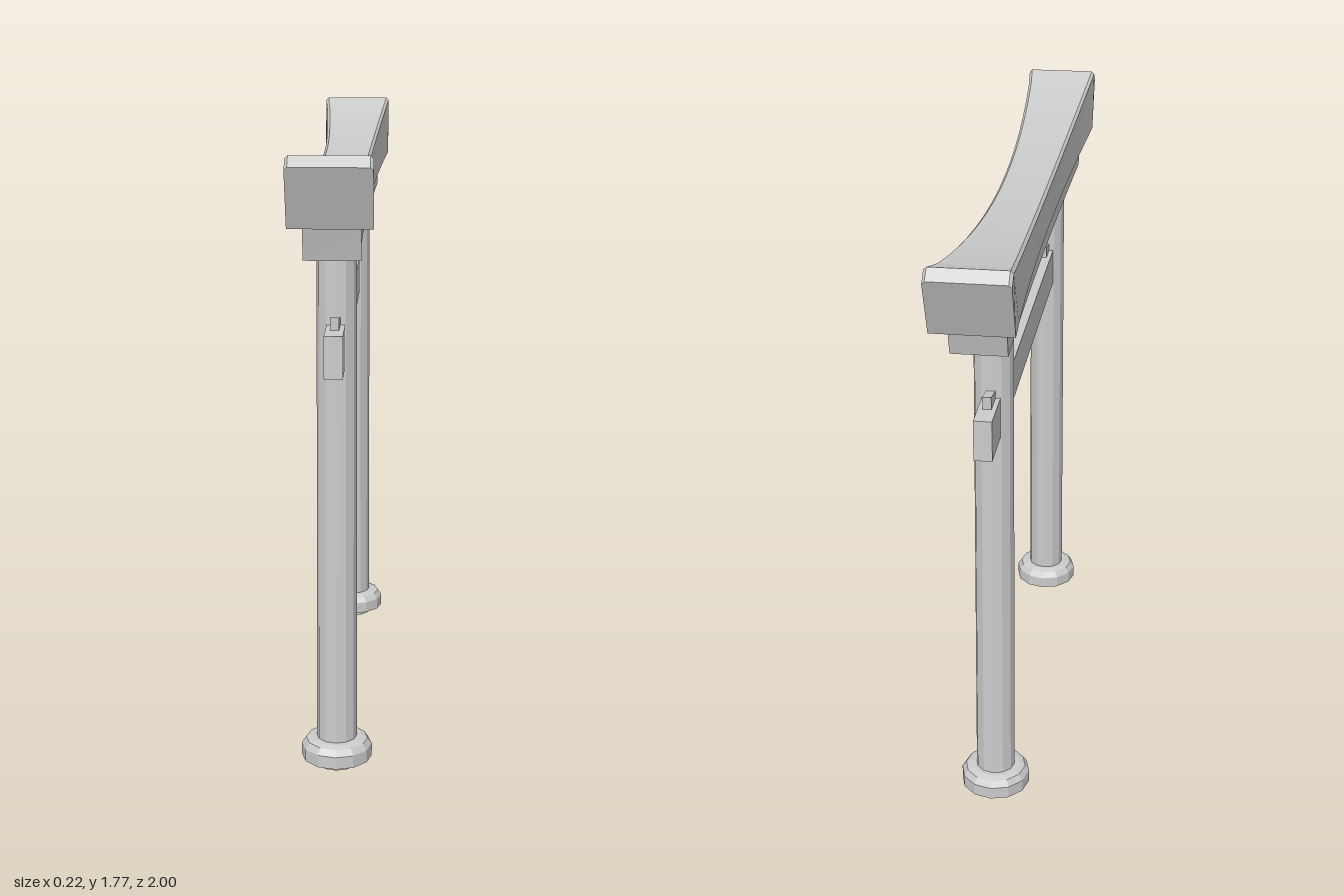
import * as THREE from 'three';

const material = new THREE.MeshStandardMaterial({ color: 0xcccccc, flatShading: true });
const openMaterial = new THREE.MeshStandardMaterial({ color: 0xcccccc, flatShading: true, side: THREE.DoubleSide });

function add(group, name, geometry, mat = material) {
  const mesh = new THREE.Mesh(geometry, mat);
  mesh.name = name;
  group.add(mesh);
  return mesh;
}

// Joins equal-length rings of points, running along +z, and closes both ends
function loft(rings) {
  const n = rings[0].length;
  const index = [];
  for (let i = 0; i < rings.length - 1; i++) {
    for (let j = 0; j < n; j++) {
      const a = i * n + j, b = i * n + (j + 1) % n;
      index.push(a, b, b + n, a, b + n, a + n);
    }
  }
  const last = (rings.length - 1) * n;
  for (let j = 1; j < n - 1; j++) {
    index.push(0, j + 1, j, last, last + j, last + j + 1);
  }
  const geometry = new THREE.BufferGeometry();
  geometry.setAttribute('position', new THREE.Float32BufferAttribute(rings.flat(2), 3));
  geometry.setIndex(index);
  const flat = geometry.toNonIndexed();
  flat.computeVertexNormals();
  return flat;
}

// Upward-curving beam: wider and higher at the ends, with raked end faces
function curvedBeam({ topZ, bottomZ, top, bottom, topRise, bottomRise, width, flare, bevel, endBevel }) {
  const rings = [];
  const ring = (t, dz, drop) => {
    const w = width + flare * t * t;
    const yt = top + topRise * t * t - drop;
    const yb = bottom + bottomRise * t * t;
    const zt = t * topZ - Math.sign(t) * dz, zb = t * bottomZ;
    const zs = zt + (zb - zt) * 0.05;
    return [
      [-w, yb, zb], [w, yb, zb], [w, yt - bevel, zs],
      [w - bevel, yt, zt], [-w + bevel, yt, zt], [-w, yt - bevel, zs],
    ];
  };
  const segments = 16;
  rings.push(ring(-1, 0, endBevel));
  for (let i = 0; i <= segments; i++) {
    const t = -1 + 2 * i / segments;
    rings.push(ring(t, Math.abs(t) === 1 ? endBevel * 1.2 : 0, 0));
  }
  rings.push(ring(1, 0, endBevel));
  return loft(rings);
}

export function createModel() {
  const model = new THREE.Group();
  model.name = 'gate';

  // Lintels
  add(model, 'upperLintel', curvedBeam({
    topZ: 1, bottomZ: 0.935, top: 1.665, bottom: 1.545, topRise: 0.107, bottomRise: 0.042,
    width: 0.073, flare: 0.036, bevel: 0.008, endBevel: 0.026,
  }));
  add(model, 'lowerLintel', curvedBeam({
    topZ: 0.855, bottomZ: 0.83, top: 1.55, bottom: 1.457, topRise: 0.033, bottomRise: 0.034,
    width: 0.056, flare: 0.019, bevel: 0.003, endBevel: 0.003,
  }));

  // Straight tie beam passing through the pillars
  add(model, 'tieBeam', new THREE.BoxGeometry(0.05, 0.115, 1.57)).position.y = 1.228;

  for (const side of [-1, 1]) {
    const post = new THREE.Group();
    post.name = side > 0 ? 'frontPost' : 'backPost';
    model.add(post);

    // Pillar leaning slightly inward
    const height = 1.5;
    const pillar = new THREE.CylinderGeometry(0.054, 0.057, height, 12).translate(0, height / 2, 0);
    const p = pillar.attributes.position;
    for (let i = 0; i < p.count; i++) {
      p.setZ(i, p.getZ(i) + side * (0.61 - 0.018 * p.getY(i)));
    }
    pillar.computeVertexNormals();
    add(post, 'pillar', pillar);

    // Collar, open underneath around the foot
    const profile = [[0.1, 0.024], [0.1, 0.06], [0.088, 0.078], [0.07, 0.084], [0.045, 0.084]]
      .map(([r, y]) => new THREE.Vector2(r, y));
    add(post, 'collar', new THREE.LatheGeometry(profile, 12), openMaterial).position.z = side * 0.61;

    // Wedges on either side of the pillar, rising away from it
    for (const dir of [-1, 1]) {
      const outline = new THREE.Shape([[0.03, 1.28], [0.122, 1.28], [0.124, 1.321], [0.03, 1.303]]
        .map(([z, y]) => new THREE.Vector2(z, y)));
      const wedge = new THREE.ExtrudeGeometry(outline, { depth: 0.024, bevelEnabled: false });
      wedge.translate(0, 0, -0.012).rotateY(dir > 0 ? -Math.PI / 2 : Math.PI / 2);
      add(post, 'wedge', wedge).position.z = side * 0.588;
    }
  }
  return model;
}
